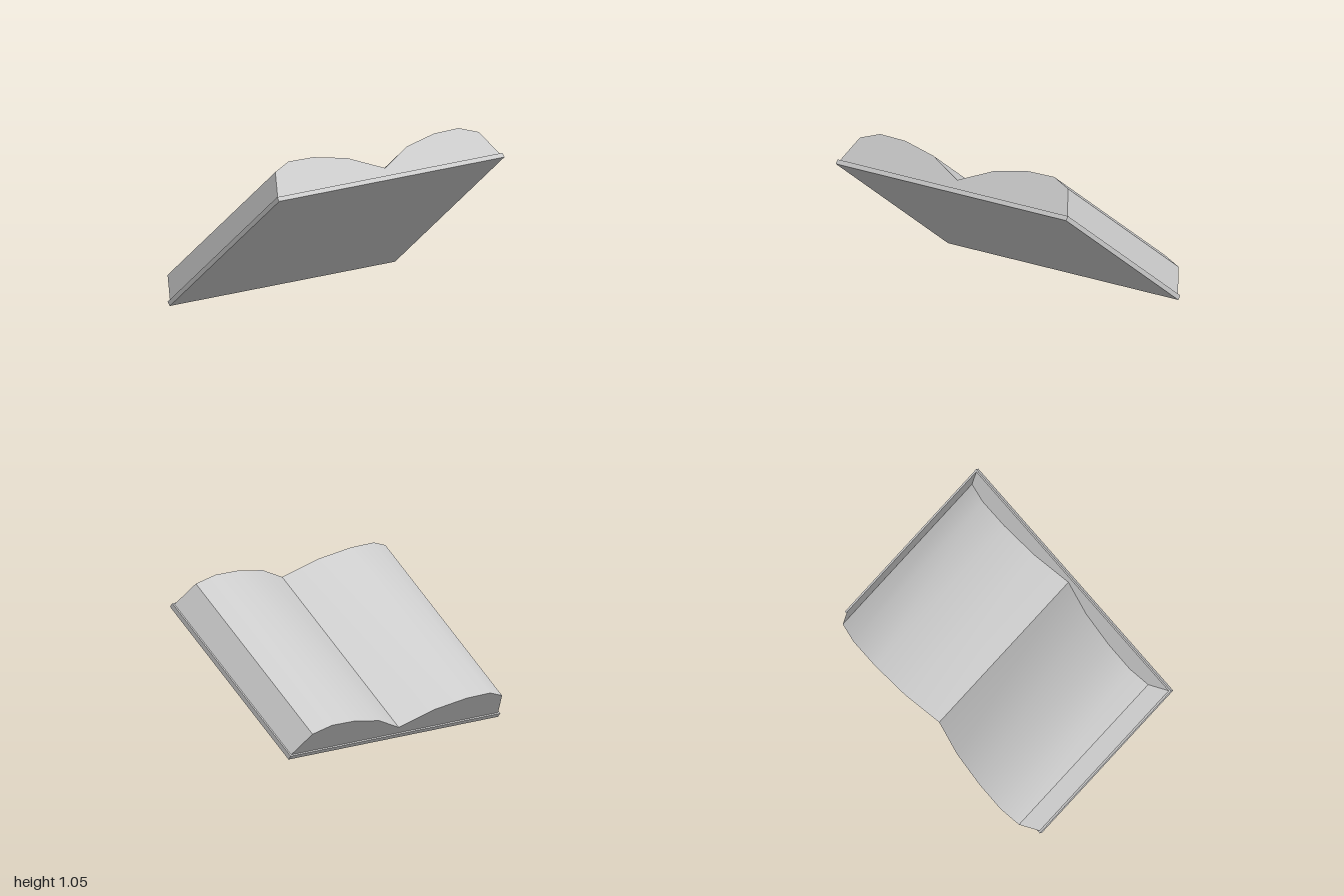
import * as THREE from 'three';
import { toCreasedNormals } from 'three/addons/utils/BufferGeometryUtils.js';

const WIDTH = 1.894, DEPTH = 1.318, COVER = 0.031, INSET = 0.01;

export function createModel() {
  const group = new THREE.Group();
  group.name = 'openBook';
  const material = new THREE.MeshStandardMaterial({ color: 0xcccccc });

  // Flat cover board
  const coverGeometry = new THREE.BoxGeometry(WIDTH, COVER, DEPTH);
  coverGeometry.translate(0, COVER / 2, 0);
  const cover = new THREE.Mesh(coverGeometry, material);
  cover.name = 'cover';

  // Page block: half profile from gutter to fore edge, mirrored about the gutter
  const half = [[0.252, 0.203], [0.507, 0.253], [0.715, 0.257], [0.856, 0.204], [0.935, COVER]];
  const profile = [
    ...half.map(([x, y]) => new THREE.Vector2(-x, y)).reverse(),
    new THREE.Vector2(0, 0.088),
    ...half.map(([x, y]) => new THREE.Vector2(x, y)),
  ];
  const length = DEPTH - 2 * INSET;
  const pageGeometry = new THREE.ExtrudeGeometry(new THREE.Shape(profile), {
    depth: length, bevelEnabled: false,
  });
  pageGeometry.translate(0, 0, -length / 2);
  const pages = new THREE.Mesh(toCreasedNormals(pageGeometry, Math.PI / 6), material);
  pages.name = 'pages';

  // Tilt the whole book: u runs across it, n out of the pages, v along the gutter
  const u = new THREE.Vector3(1.876, 0.06, -0.253).normalize();
  const n = new THREE.Vector3(0.12, 0.8, 1.04).cross(u).normalize();
  const v = u.clone().cross(n);
  const book = new THREE.Group();
  book.name = 'book';
  book.quaternion.setFromRotationMatrix(new THREE.Matrix4().makeBasis(u, n, v));
  book.position.set(0, 0.43, 0.057);
  book.add(cover, pages);
  group.add(book);
  return group;
}
